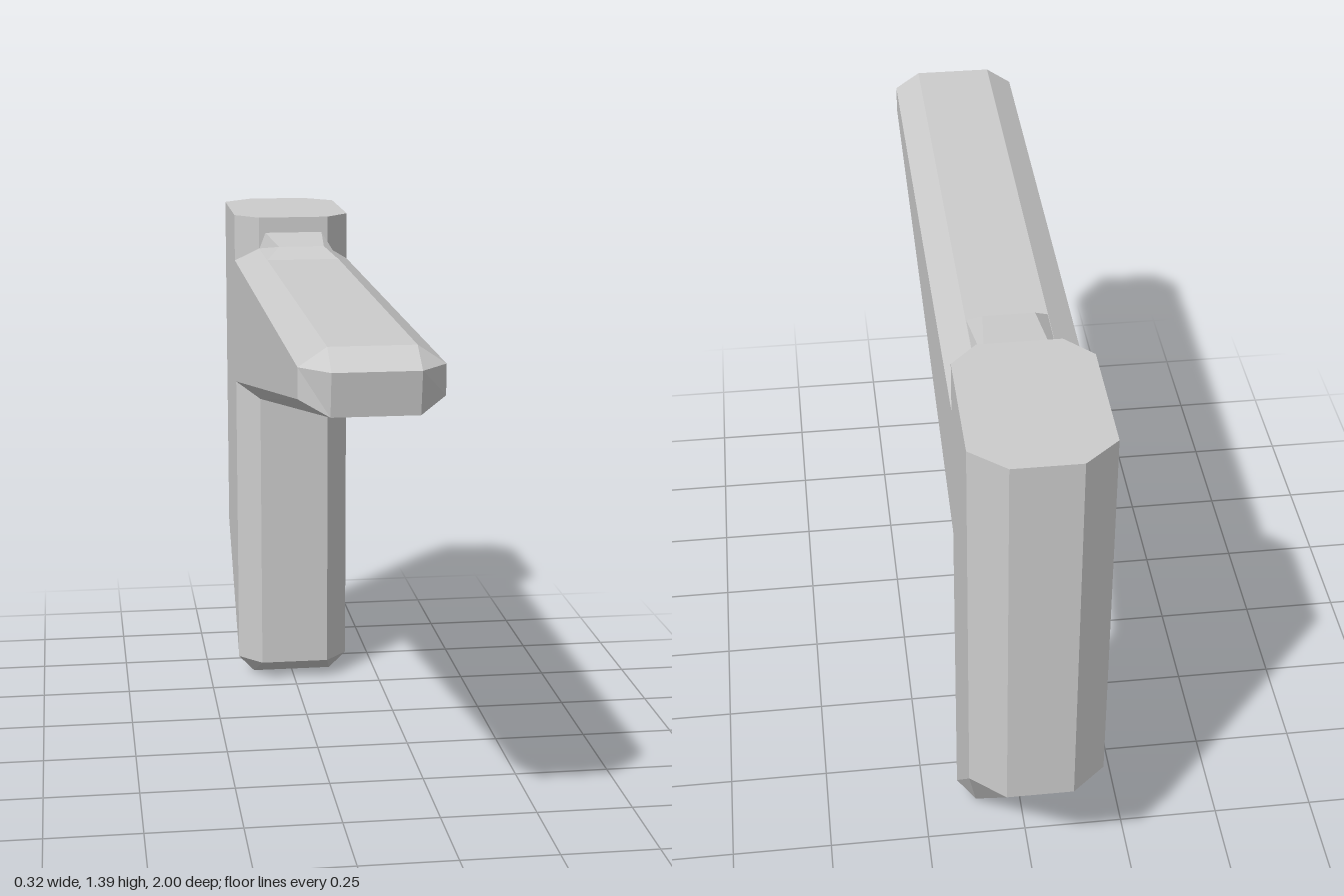
import * as THREE from 'three';

const material = new THREE.MeshStandardMaterial({ color: 0xcccccc, flatShading: true });

// Collects flat polygons (counter-clockwise from outside) as fans, skipping collapsed triangles
function facetedMesh(name, polygons) {
  const positions = [];
  for (const p of polygons) {
    for (let i = 1; i < p.length - 1; i++) {
      const tri = [p[0], p[i], p[i + 1]].map((v) => new THREE.Vector3(...v));
      if (new THREE.Triangle(...tri).getArea() < 1e-7) continue;
      tri.forEach((v) => positions.push(v.x, v.y, v.z));
    }
  }
  const geometry = new THREE.BufferGeometry();
  geometry.setAttribute('position', new THREE.Float32BufferAttribute(positions, 3));
  geometry.computeVertexNormals();
  const mesh = new THREE.Mesh(geometry, material);
  mesh.name = name;
  return mesh;
}

// Upright post and tapering arm: side panels joined by chamfers to a narrower rim
function createBracket() {
  const halfWidth = 0.162;
  // each row: side panel z, y, then rim z, y, half width
  const outline = [
    [0.93, 1.26, 1.0, 1.26, 0.098],      // arm tip
    [0.93, 1.26, 0.93, 1.303, 0.098],    // arm top
    [-0.615, 1.26, -0.547, 1.303, 0.098],
    [-0.615, 1.39, -0.547, 1.39, 0.098], // post top
    [-0.93, 1.39, -1.0, 1.39, 0.08],
    [-0.93, 0.4, -1.0, 0.4, 0.08],       // post back
    [-0.615, 0.055, -0.635, 0, 0.115],   // foot
    [-0.615, 0.055, -0.547, 0.055, 0.098],
    [-0.615, 0.905, -0.547, 0.866, 0.098], // under the arm
    [0.93, 1.19, 0.985, 1.16, 0.098],
  ];
  const rows = outline.map(([z, y, rz, ry, rx]) => [
    [halfWidth, y, z], [rx, ry, rz], [-rx, ry, rz], [-halfWidth, y, z],
  ]);
  const polygons = [];
  rows.forEach((a, i) => {
    const b = rows[(i + 1) % rows.length];
    for (let k = 0; k < 3; k++) polygons.push([a[k], b[k], b[k + 1], a[k + 1]]);
  });
  // side panels: arm, upper post, lower post
  for (const ids of [[1, 2, 8, 9], [2, 3, 4, 5], [2, 5, 6]]) {
    polygons.push(ids.map((i) => rows[i][3]));
    polygons.push(ids.map((i) => rows[i][0]).reverse());
  }
  return facetedMesh('bracketBody', polygons);
}

// Small sloped block on the arm, against the post
function createRamp() {
  const base = [[-0.097, 1.303, -0.32], [0.097, 1.303, -0.32], [0.097, 1.303, -0.547], [-0.097, 1.303, -0.547]];
  const top = [[-0.062, 1.334, -0.355], [0.062, 1.334, -0.355], [0.08, 1.347, -0.547], [-0.08, 1.347, -0.547]];
  const polygons = [top];
  for (let i = 0; i < 4; i++) {
    const j = (i + 1) % 4;
    polygons.push([base[i], base[j], top[j], top[i]]);
  }
  return facetedMesh('ramp', polygons);
}

export function createModel() {
  const group = new THREE.Group();
  group.name = 'bracket';
  group.add(createBracket(), createRamp());
  return group;
}
